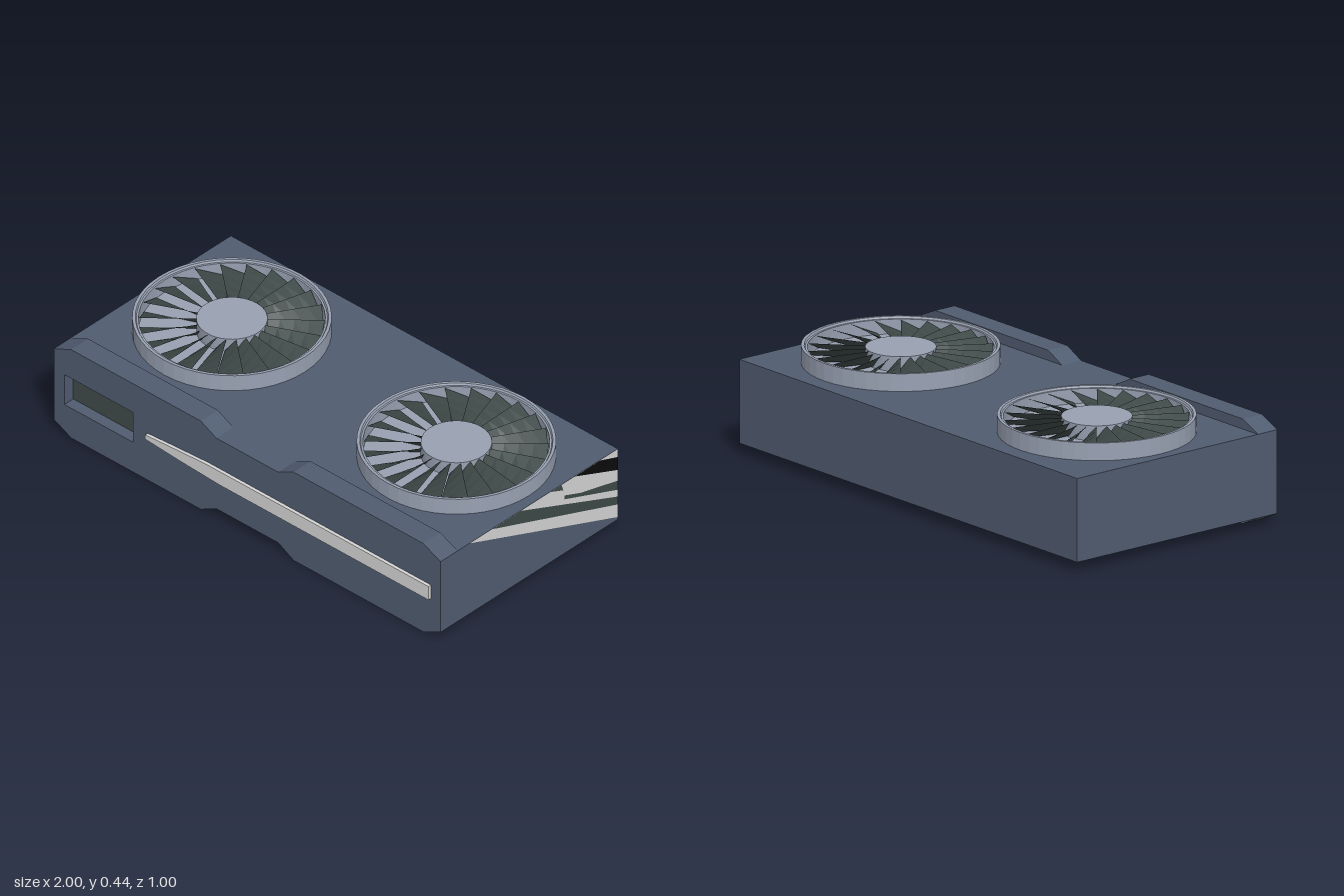
import * as THREE from 'three';

const mat = (name, color) => {
  const m = new THREE.MeshStandardMaterial({ color });
  m.name = name;
  return m;
};

// Flat-faced version of a geometry
function faceted(geometry) {
  const g = geometry.index ? geometry.toNonIndexed() : geometry;
  g.computeVertexNormals();
  return g;
}

function shapeFrom(points) {
  return new THREE.Shape(points.map(([x, y]) => new THREE.Vector2(x, y)));
}

// One twisted blade: constant rise, widening from hub to ring, so steeper at the root
function bladeGeometry(count) {
  const half = (Math.PI / count) * 1.12, low = 0.384, high = 0.434;
  const rows = 4, r0 = 0.125, r1 = 0.352;
  const pos = [], index = [];
  for (let i = 0; i <= rows; i++) {
    const t = i / rows, r = r0 + (r1 - r0) * t;
    for (const side of [-1, 1]) {
      const a = side * half;
      pos.push(r * Math.cos(a), side < 0 ? low : high, -r * Math.sin(a));
    }
    if (i < rows) {
      const k = i * 2;
      index.push(k, k + 2, k + 1, k + 1, k + 2, k + 3);
    }
  }
  const g = new THREE.BufferGeometry();
  g.setAttribute('position', new THREE.Float32BufferAttribute(pos, 3));
  g.setIndex(index);
  return faceted(g);
}

export function createModel() {
  const model = new THREE.Group();
  model.name = 'graphicsCard';

  const slate = mat('slate shell', 0x505c70);
  const steel = mat('light steel', 0x98a1b2);
  const green = mat('dark green', 0x3e4a48);
  green.side = THREE.DoubleSide;
  const pale = mat('pale grey', 0xd4d4d4);
  const black = mat('black', 0x0b0b0b);

  const add = (parent, name, geometry, material, x = 0, y = 0, z = 0) => {
    const m = new THREE.Mesh(geometry, material);
    m.name = name;
    m.position.set(x, y, z);
    parent.add(m);
    return m;
  };

  // Main housing
  add(model, 'housing', new THREE.BoxGeometry(2, 0.332, 0.9), slate, 0, 0.209, -0.05);

  // Front bezel: chamfered outline mirrored left to right, with a window opening
  const half = [[0.16, 0.043], [0.24, 0], [0.91, 0], [1, 0.043],
    [1, 0.375], [0.91, 0.415], [0.24, 0.415], [0.16, 0.375]];
  const mirrored = half.map(([x, y]) => [-x, y]).reverse();
  const bezel = shapeFrom([...half, ...mirrored]);
  const opening = [[-0.945, 0.14], [-0.945, 0.28], [-0.59, 0.28], [-0.59, 0.14]];
  bezel.holes.push(new THREE.Path(opening.map(([x, y]) => new THREE.Vector2(x, y))));
  add(model, 'frontBezel',
    new THREE.ExtrudeGeometry(bezel, { depth: 0.095, bevelEnabled: false }), slate, 0, 0, 0.39);
  add(model, 'recessedWindow', new THREE.BoxGeometry(0.355, 0.14, 0.05), green, -0.7675, 0.21, 0.411);

  // Tapered strip along the front
  const strip = shapeFrom([[-0.515, 0.2], [-0.33, 0.187], [-0.13, 0.177], [0.95, 0.177],
    [0.95, 0.24], [-0.2, 0.24], [-0.4, 0.228], [-0.515, 0.22]]);
  add(model, 'frontStrip',
    new THREE.ExtrudeGeometry(strip, { depth: 0.015, bevelEnabled: false }), pale, 0, 0, 0.484);

  // Slanted stripes painted on the left side; points are (z, y)
  const stripes = [
    ['paleStripeField', pale, 0.0012, [[0.325, 0.375], [-0.5, 0.375], [-0.5, 0.055]]],
    ['longGreenStripe', green, 0.0024, [[0.2, 0.375], [0.04, 0.375], [-0.5, 0.152], [-0.5, 0.115]]],
    ['shortGreenStripe', green, 0.0024,
      [[-0.2, 0.318], [-0.29, 0.282], [-0.5, 0.227], [-0.5, 0.184], [-0.2, 0.3]]],
    ['greenFleck', green, 0.0024, [[-0.125, 0.375], [-0.185, 0.375], [-0.195, 0.345]]],
    ['blackStripe', black, 0.0024, [[-0.26, 0.375], [-0.4, 0.375], [-0.5, 0.338], [-0.5, 0.277]]],
  ];
  for (const [name, material, lift, pts] of stripes) {
    const g = new THREE.ShapeGeometry(shapeFrom(pts.map(([z, y]) => [-z, y])));
    g.rotateY(Math.PI / 2);
    add(model, name, g, material, 1 + lift);
  }

  // Two fans, each with a stepped ring, floor, hub and overlapping blades
  const ringProfile = [[0.378, 0.37], [0.378, 0.445], [0.366, 0.445], [0.362, 0.437],
    [0.354, 0.437], [0.354, 0.37]].map(([r, y]) => new THREE.Vector2(r, y));
  const ring = faceted(new THREE.LatheGeometry(ringProfile, 48));
  const floor = new THREE.CylinderGeometry(0.356, 0.356, 0.008, 48);
  const hub = new THREE.CylinderGeometry(0.135, 0.135, 0.064, 40);
  const bladeCount = 22;
  const blade = bladeGeometry(bladeCount);
  for (const side of [-1, 1]) {
    const fan = new THREE.Group();
    fan.name = side > 0 ? 'leftFan' : 'rightFan';
    fan.position.set(side * 0.58, 0, -0.054);
    model.add(fan);
    add(fan, 'fanRing', ring, steel);
    add(fan, 'fanFloor', floor, steel, 0, 0.375, 0);
    add(fan, 'fanHub', hub, steel, 0, 0.406, 0);
    for (let i = 0; i < bladeCount; i++) {
      add(fan, 'fanBlade', blade, green).rotation.y = (i / bladeCount) * Math.PI * 2;
    }
  }
  return model;
}
